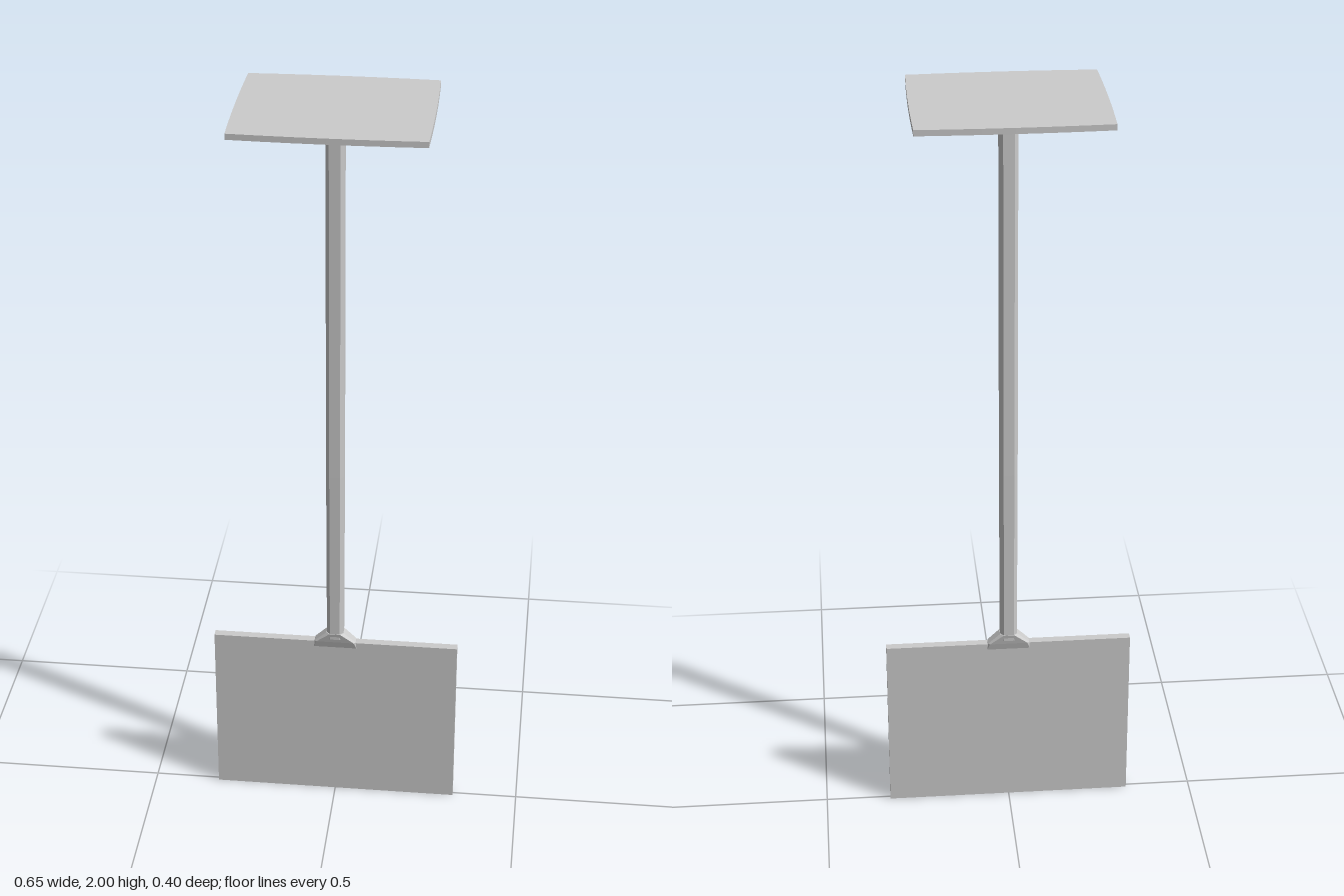
import * as THREE from 'three';

const material = new THREE.MeshStandardMaterial({ color: 0xcccccc, flatShading: true });

function addMesh(parent, name, geometry) {
  const mesh = new THREE.Mesh(geometry, material);
  mesh.name = name;
  parent.add(mesh);
  return mesh;
}

// Chamfered rectangular rings joined from bottom to top, closed at both ends.
// Each ring: y, half width, half depth, chamfer, slope of the ring
function loft(rings) {
  const positions = [];
  const index = [];
  for (const [y, w, d, c, slope = 0] of rings) {
    const outline = [
      [w, d - c], [w - c, d], [c - w, d], [-w, d - c],
      [-w, c - d], [c - w, -d], [w - c, -d], [w, c - d],
    ];
    for (const [x, z] of outline) positions.push(x, y + slope * (x + z), z);
  }
  for (let r = 0; r < rings.length - 1; r++) {
    for (let i = 0; i < 8; i++) {
      const a = r * 8 + i;
      const b = r * 8 + (i + 1) % 8;
      index.push(a, a + 8, b, b, a + 8, b + 8);
    }
  }
  const top = (rings.length - 1) * 8;
  for (let i = 1; i < 7; i++) {
    index.push(0, i, i + 1, top, top + i + 1, top + i);
  }
  const geometry = new THREE.BufferGeometry();
  geometry.setAttribute('position', new THREE.Float32BufferAttribute(positions, 3));
  geometry.setIndex(index);
  const flat = geometry.toNonIndexed();
  flat.computeVertexNormals();
  return flat;
}

export function createModel() {
  const model = new THREE.Group();
  model.name = 'shovel';

  // Thin flat blade
  const blade = addMesh(model, 'blade', new THREE.BoxGeometry(0.652, 0.487, 0.022));
  blade.position.y = 0.2435;

  // Small foot spreading along the blade's upper edge
  addMesh(model, 'bladeSocket', loft([
    [0.47, 0.06, 0.011, 0.003],
    [0.489, 0.055, 0.016, 0.005],
    [0.518, 0.023, 0.022, 0.009],
  ]));

  // Long chamfered shaft
  addMesh(model, 'shaft', loft([
    [0.5, 0.022, 0.02, 0.009],
    [1.0, 0.023, 0.023, 0.009],
    [1.97, 0.023, 0.022, 0.009],
  ]));

  // Flare under the top plate, slightly lower on one corner
  addMesh(model, 'plateFlare', loft([
    [1.937, 0.022, 0.021, 0.007, 0.5],
    [1.988, 0.095, 0.082, 0.008],
  ]));

  // Top plate with gently bowed edges
  const outline = new THREE.Shape();
  outline.moveTo(-0.235, -0.197);
  outline.quadraticCurveTo(0, -0.207, 0.235, -0.197);
  outline.quadraticCurveTo(0.241, 0, 0.235, 0.197);
  outline.quadraticCurveTo(0, 0.207, -0.235, 0.197);
  outline.quadraticCurveTo(-0.241, 0, -0.235, -0.197);
  const plateGeometry = new THREE.ExtrudeGeometry(outline, {
    depth: 0.015, bevelEnabled: false, curveSegments: 6,
  });
  plateGeometry.rotateX(-Math.PI / 2);
  const plate = addMesh(model, 'topPlate', plateGeometry);
  plate.position.y = 1.985;

  return model;
}
